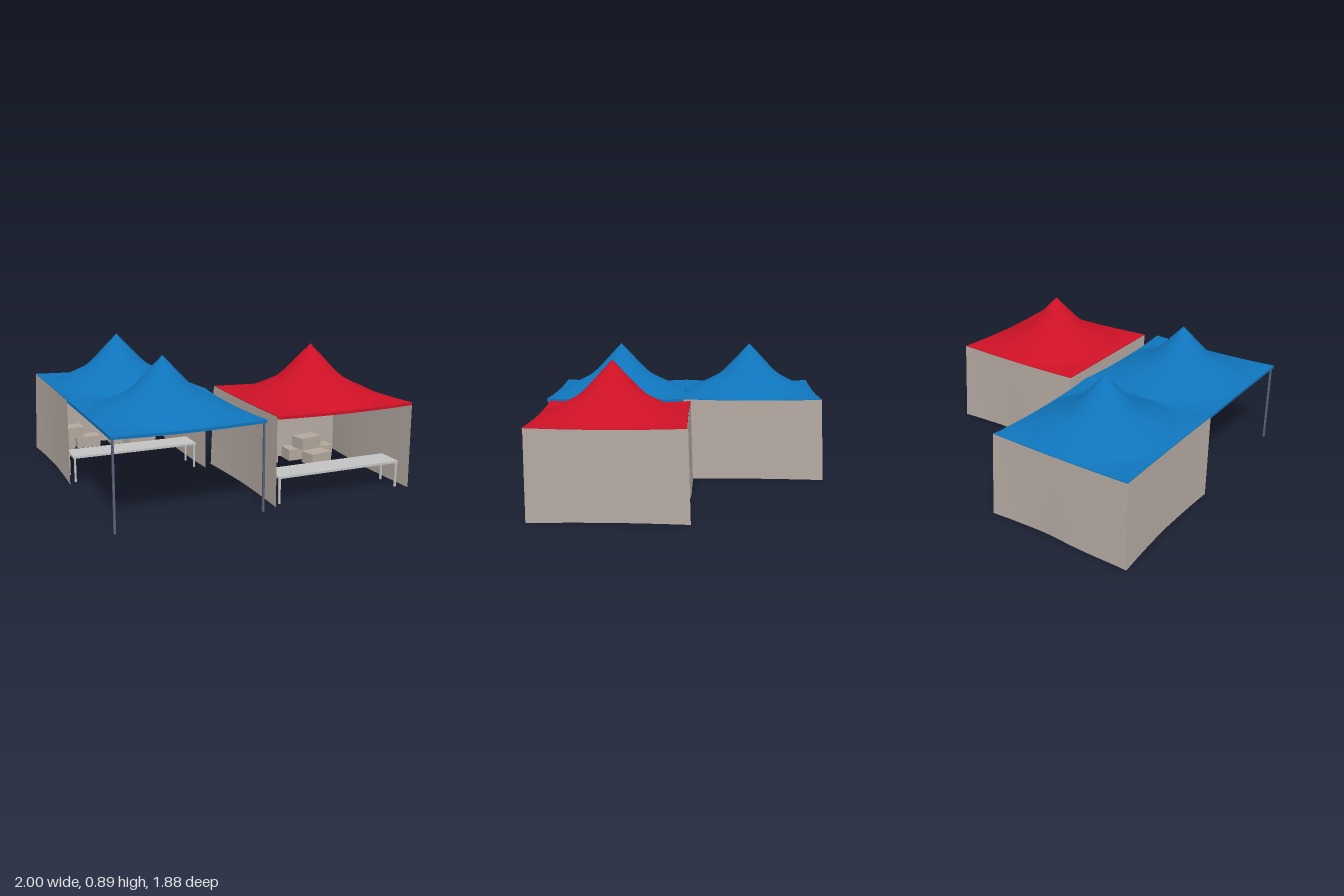
import * as THREE from 'three';

const HALF = 0.468, EAVE = 0.557;

const mat = (name, color, side = THREE.FrontSide) => {
  const m = new THREE.MeshStandardMaterial({ color, side });
  m.name = name;
  return m;
};

// Grid surface from a rule (u, v) -> [x, y, z]
function sheet(nu, nv, rule, flip = false) {
  const pos = [], index = [];
  for (let j = 0; j <= nv; j++)
    for (let i = 0; i <= nu; i++) pos.push(...rule(i / nu, j / nv));
  for (let j = 0; j < nv; j++)
    for (let i = 0; i < nu; i++) {
      const a = j * (nu + 1) + i, b = a + 1, c = a + nu + 1, d = c + 1;
      if (flip) index.push(a, b, c, b, d, c);
      else index.push(a, c, b, b, c, d);
    }
  const g = new THREE.BufferGeometry();
  g.setAttribute('position', new THREE.Float32BufferAttribute(pos, 3));
  g.setIndex(index);
  g.computeVertexNormals();
  return g;
}

// Height of the swooping canopy at distance r from the peak
function swoop(r) {
  const rings = [[0, 0.89], [0.05, 0.838], [0.17, 0.708], [0.225, 0.662], [0.32, 0.615], [0.45, 0.56], [0.7, 0.557]];
  for (let i = 1; i < rings.length; i++) {
    const [r0, y0] = rings[i - 1], [r1, y1] = rings[i];
    if (r <= r1) return y0 + (y1 - y0) * (r - r0) / (r1 - r0);
  }
  return EAVE;
}

// Canopy point; s and t run from -1 to 1, edges bow in and sag
function canopyPoint(s, t) {
  const x = s * (HALF - 0.012 * (1 - t * t)), z = t * (HALF - 0.006 * (1 - s * s));
  const edge = Math.max(Math.abs(s), Math.abs(t)) ** 6;
  const sag = 0.013 * edge * (1 - Math.min(Math.abs(s), Math.abs(t)) ** 2);
  return [x, swoop(Math.hypot(x, z)) - sag, z];
}

export function createModel() {
  const blue = mat('blue canvas', 0x0f75bc), red = mat('red canvas', 0xce1126);
  const blueEdge = mat('blue valance', 0x0f75bc, THREE.DoubleSide);
  const redEdge = mat('red valance', 0xce1126, THREE.DoubleSide);
  const cloth = mat('taupe wall cloth', 0xb5aaa3, THREE.DoubleSide);
  const metal = mat('slate metal', 0x5a6078);
  const grey = mat('light grey table', 0xc2c2c2);
  const carton = mat('taupe carton', 0xb2a79d);

  const model = new THREE.Group();
  model.name = 'marketTents';

  const add = (parent, name, geometry, material, x = 0, y = 0, z = 0) => {
    const m = new THREE.Mesh(geometry, material);
    m.name = name;
    m.position.set(x, y, z);
    parent.add(m);
    return m;
  };
  const box = (parent, name, w, h, d, material, x, y, z) =>
    add(parent, name, new THREE.BoxGeometry(w, h, d), material, x, y, z);

  // Peaked canopy with lining and a narrow valance
  function addCanopy(tent, material, edgeMaterial) {
    const top = (u, v) => canopyPoint(u * 2 - 1, v * 2 - 1);
    const under = (u, v) => { const p = top(u, v); return [p[0], p[1] - 0.006, p[2]]; };
    add(tent, 'canopy', sheet(32, 32, top), material);
    add(tent, 'canopyLining', sheet(32, 32, under, true), cloth);
    const sides = [e => [e, 1], e => [e, -1], e => [1, e], e => [-1, e]];
    for (const side of sides)
      add(tent, 'valance', sheet(16, 1, (u, v) => {
        const p = canopyPoint(...side(u * 2 - 1));
        return [p[0], p[1] - 0.018 * v, p[2]];
      }), edgeMaterial);
  }

  // Three hanging walls, flaring out at the rear foot
  function addWalls(tent) {
    for (const s of [-1, 1])
      add(tent, s > 0 ? 'leftWall' : 'rightWall', sheet(16, 4, (u, v) => {
        const t = u * 2 - 1, p = canopyPoint(s, t);
        const flare = v * Math.max(0, -t) ** 1.2;
        return [p[0] + s * (0.003 + 0.017 * flare), (p[1] - 0.002) * (1 - v),
          p[2] - 0.016 * flare - 0.003];
      }), cloth);
    add(tent, 'backWall', sheet(16, 4, (u, v) => {
      const s = u * 2 - 1, p = canopyPoint(s, -1);
      const wave = 0.016 * s * s + 0.018 * Math.max(0, Math.sin((s + 1.15) * 2.4)) * (s < 0.15 ? 1 - s * s : 0);
      return [p[0] + s * (0.003 + 0.017 * v), (p[1] - 0.002) * (1 - v), p[2] - 0.003 - wave * v];
    }), cloth);
  }

  // Long serving table across the open front
  function addTable(tent) {
    const table = new THREE.Group();
    table.name = 'table';
    table.position.set(-0.008, 0, 0.335);
    tent.add(table);
    box(table, 'tableTop', 0.85, 0.014, 0.18, grey, 0, 0.165, 0);
    for (const sx of [-1, 1])
      for (const sz of [-1, 1])
        box(table, 'tableLeg', 0.012, 0.16, 0.012, grey, sx * 0.415, 0.08, sz * 0.08);
  }

  // Cartons stacked along the back wall: x, level, z, turn
  function addCartons(tent) {
    const stack = [
      [-0.318, 0, -0.39, 0], [-0.128, 0, -0.39, 0],
      [0.13, 0, -0.39, 0], [0.305, 0, -0.39, 0],
      [0.21, 0, -0.24, 0.2], [-0.25, 1, -0.39, 0.06], [0.2, 1, -0.37, 0.22],
    ];
    for (const [x, level, z, turn] of stack)
      box(tent, 'carton', 0.172, 0.079, 0.11, carton, x, 0.04 + level * 0.08, z).rotation.y = turn;
  }

  const tents = [
    ['blueStall', -0.515, -0.455, blue, blueEdge, true],
    ['blueAwning', -0.515, 0.472, blue, blueEdge, false],
    ['redStall', 0.51, 0.432, red, redEdge, true],
  ];
  for (const [name, x, z, material, edgeMaterial, walled] of tents) {
    const tent = new THREE.Group();
    tent.name = name;
    tent.position.set(x, 0, z);
    model.add(tent);
    addCanopy(tent, material, edgeMaterial);
    if (walled) {
      addWalls(tent);
      addTable(tent);
      addCartons(tent);
    } else {
      // Two slim poles hold up the front of the awning
      for (const s of [-1, 1])
        box(tent, 'pole', 0.012, 0.55, 0.012, metal, s * 0.453, 0.275, 0.457);
    }
  }
  return model;
}
